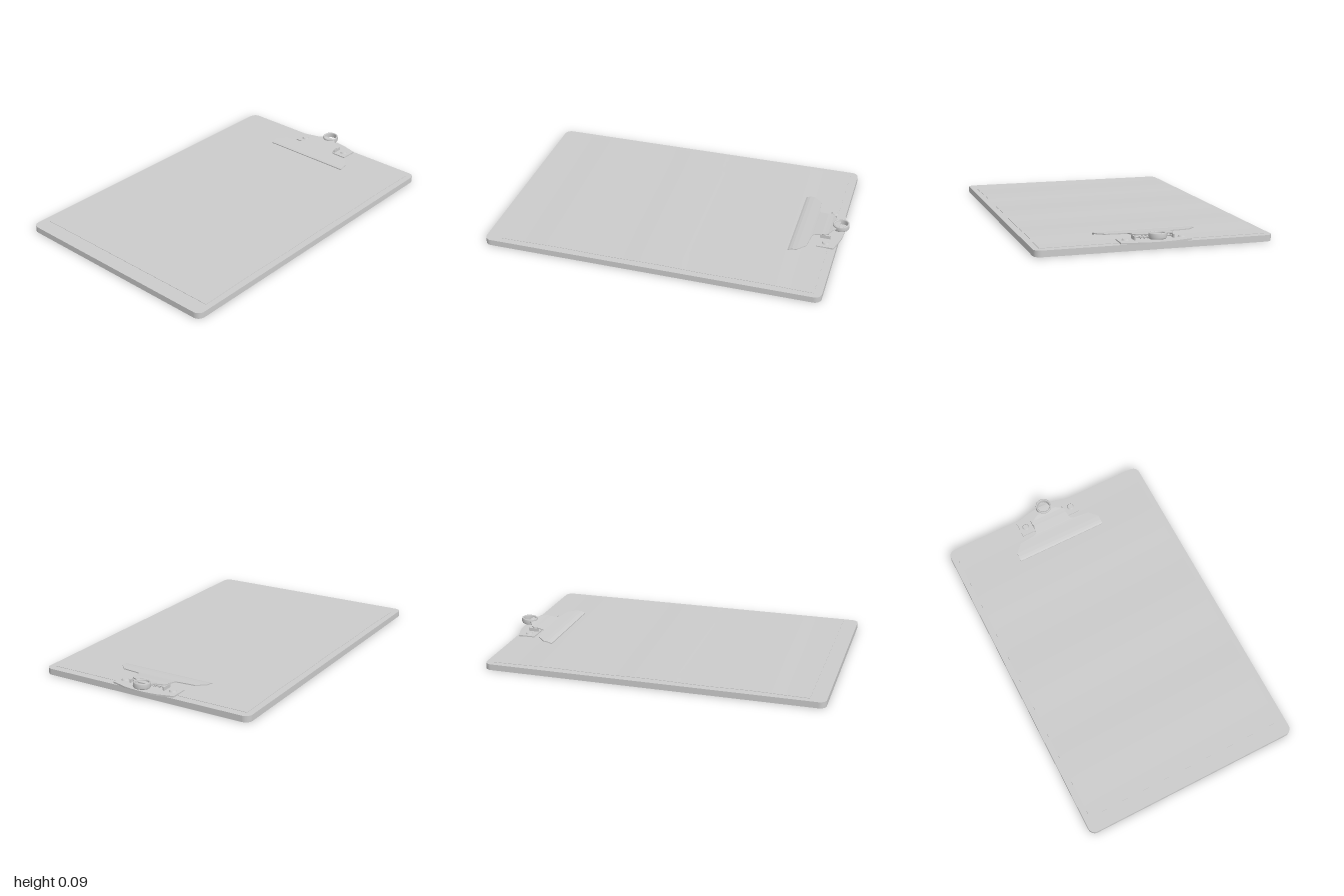
import * as THREE from 'three';

const material = new THREE.MeshStandardMaterial({ color: 0xcccccc, side: THREE.DoubleSide });
const flat = new THREE.MeshStandardMaterial({ color: 0xcccccc, side: THREE.DoubleSide, flatShading: true });

function part(name, geometry, parent, mat = material) {
  const mesh = new THREE.Mesh(geometry, mat);
  mesh.name = name;
  parent.add(mesh);
  return mesh;
}

// Extrude a plan shape (x, -z) upward from y0
function slab(shape, y0, height) {
  const g = new THREE.ExtrudeGeometry(shape, { depth: height, bevelEnabled: false, curveSegments: 6 });
  return g.rotateX(-Math.PI / 2).translate(0, y0, 0);
}

function roundedRect(x0, y0, x1, y1, r) {
  const s = new THREE.Shape();
  s.absarc(x1 - r, y1 - r, r, 0, Math.PI / 2);
  s.absarc(x0 + r, y1 - r, r, Math.PI / 2, Math.PI);
  s.absarc(x0 + r, y0 + r, r, Math.PI, Math.PI * 1.5);
  s.absarc(x1 - r, y0 + r, r, Math.PI * 1.5, Math.PI * 2);
  s.closePath();
  return s;
}

// Loft a symmetric plate through rows of [z, half width, top y]
function plate(rows, thickness) {
  const pos = [], index = [];
  rows.forEach(([z, w, y], i) => {
    pos.push(-w, y, z, w, y, z, w, y - thickness, z, -w, y - thickness, z);
    if (i === 0) return;
    const a = (i - 1) * 4, b = i * 4;
    for (let k = 0; k < 4; k++) {
      const n = (k + 1) % 4;
      index.push(a + k, b + k, b + n, a + k, b + n, a + n);
    }
  });
  const e = (rows.length - 1) * 4;
  index.push(0, 1, 2, 0, 2, 3, e, e + 2, e + 1, e, e + 3, e + 2);
  const g = new THREE.BufferGeometry();
  g.setAttribute('position', new THREE.Float32BufferAttribute(pos, 3));
  g.setIndex(index);
  g.computeVertexNormals();
  return g;
}

export function createModel() {
  const model = new THREE.Group();
  model.name = 'clipboard';

  // Backing board with rounded corners
  part('board', slab(roundedRect(-0.655, -1, 0.655, 0.955, 0.04), 0, 0.035), model);

  // Slightly rippled sheet lying on the board
  const sheet = new THREE.BoxGeometry(1.24, 0.002, 1.82, 16, 1, 48);
  const p = sheet.attributes.position;
  for (let i = 0; i < p.count; i++) {
    const x = p.getX(i), z = p.getZ(i);
    const fade = 1 - Math.pow(Math.abs(z) / 0.91, 4);
    const ripple = 0.5 + 0.5 * Math.cos(z * 10.5 + x * 0.4);
    p.setY(i, p.getY(i) + 0.036 + fade * (0.002 + 0.004 * ripple));
  }
  sheet.computeVertexNormals();
  part('paper', sheet, model);

  const clip = new THREE.Group();
  clip.name = 'clip';
  model.add(clip);

  // Base plate riveted to the board
  const base = new THREE.Shape();
  base.moveTo(-0.195, 0.842);
  base.lineTo(0.195, 0.842);
  base.lineTo(0.195, 0.942);
  base.lineTo(0.1, 0.968);
  base.quadraticCurveTo(0, 0.985, -0.1, 0.968);
  base.lineTo(-0.195, 0.942);
  base.closePath();
  part('basePlate', slab(base, 0.035, 0.009), clip);

  for (const side of [-1, 1]) {
    const rivet = part('rivet', new THREE.CylinderGeometry(0.016, 0.021, 0.008, 16), clip);
    rivet.position.set(side * 0.155, 0.048, -0.89);

    // Upright ear holding the hinge pin
    const ear = part('hingeEar', new THREE.BoxGeometry(0.008, 0.022, 0.06), clip);
    ear.position.set(side * 0.108, 0.053, -0.88);
  }

  // Coiled spring around the hinge
  class Coil extends THREE.Curve {
    getPoint(t, target = new THREE.Vector3()) {
      const a = t * Math.PI * 2 * 8;
      return target.set(-0.08 + 0.16 * t, 0.054 + 0.008 * Math.cos(a), -0.885 + 0.008 * Math.sin(a));
    }
  }
  part('spring', new THREE.TubeGeometry(new Coil(), 128, 0.003, 5), clip);
  const pin = part('hingePin', new THREE.CylinderGeometry(0.004, 0.004, 0.22, 8), clip);
  pin.rotation.z = Math.PI / 2;
  pin.position.set(0, 0.054, -0.885);

  // Lever flaring into the jaw that presses on the paper
  part('lever', plate([
    [-0.945, 0.03, 0.079], [-0.915, 0.063, 0.077], [-0.894, 0.1, 0.073],
    [-0.875, 0.114, 0.071], [-0.86, 0.108, 0.07], [-0.812, 0.118, 0.064],
    [-0.805, 0.135, 0.063], [-0.794, 0.233, 0.062], [-0.746, 0.28, 0.059],
    [-0.72, 0.28, 0.056], [-0.705, 0.28, 0.052], [-0.695, 0.28, 0.047],
  ], 0.006), clip, flat);

  // Hollow hanging ring at the end of the lever
  const profile = [[0.037, -0.014], [0.044, -0.016], [0.048, -0.01], [0.048, 0.012],
    [0.045, 0.016], [0.041, 0.016], [0.037, 0.012], [0.037, -0.014]];
  const ring = part('hangingRing',
    new THREE.LatheGeometry(profile.map(([x, y]) => new THREE.Vector2(x, y)), 32), clip);
  ring.position.set(0, 0.073, -0.952);
  ring.rotation.x = 0.08;

  return model;
}
